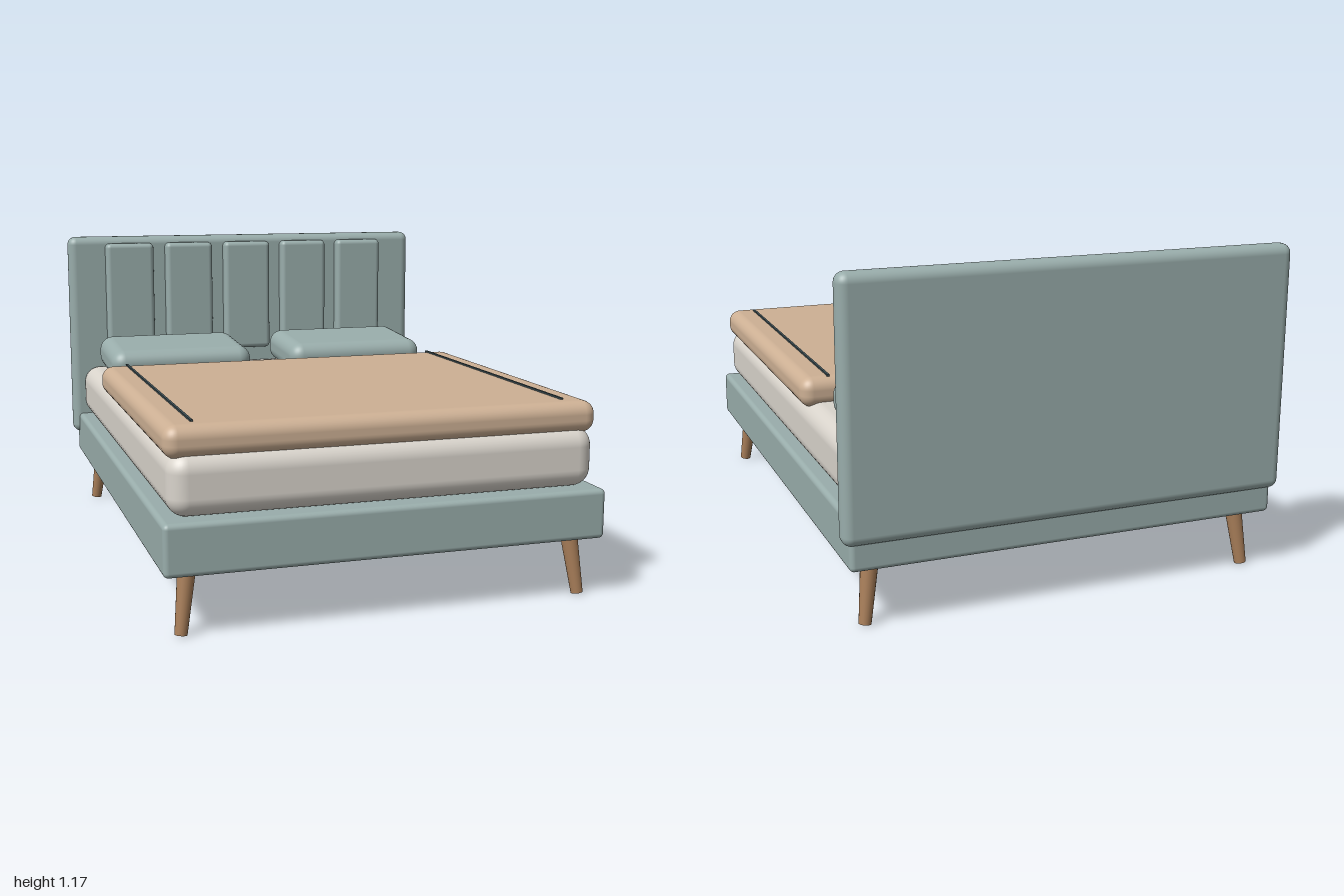
import * as THREE from 'three';
import { RoundedBoxGeometry } from 'three/addons/geometries/RoundedBoxGeometry.js';

function material(name, color) {
  const m = new THREE.MeshStandardMaterial({ color });
  m.name = name;
  return m;
}

export function createModel() {
  const fabric = material('sage fabric', 0x99adab);
  const linen = material('pale linen', 0xd9d4cc);
  const throwCloth = material('tan blanket', 0xcdb094);
  const wood = material('leg wood', 0xa87e59);
  const stitch = material('dark stitching', 0x3c4d52);

  const bed = new THREE.Group();
  bed.name = 'bed';

  // Rounded block given by its minimum and maximum corners
  function block(name, mat, min, max, radius) {
    const size = max.map((v, i) => v - min[i]);
    const mesh = new THREE.Mesh(new RoundedBoxGeometry(...size, 5, radius), mat);
    mesh.position.set(...max.map((v, i) => (v + min[i]) / 2));
    mesh.name = name;
    bed.add(mesh);
    return mesh;
  }

  // Frame, mattress and blanket
  block('baseFrame', fabric, [-0.77, 0.21, -0.98], [0.77, 0.385, 1], 0.018);
  block('mattress', linen, [-0.743, 0.385, -0.96], [0.743, 0.595, 0.97], 0.065);
  block('blanket', throwCloth, [-0.753, 0.573, -0.355], [0.753, 0.683, 0.955], 0.045);

  // Headboard with five upright padded channels
  block('headboard', fabric, [-0.795, 0.3, -1], [0.795, 1.167, -0.92], 0.034);
  for (let i = -2; i <= 2; i++) {
    const x = i * 0.266;
    block('headboardChannel', fabric, [x - 0.105, 0.655, -0.955], [x + 0.105, 1.138, -0.876], 0.02);
  }

  for (const side of [-1, 1]) {
    // Pillows, raised a little towards the headboard
    const pillow = block('pillow', fabric,
      [side * 0.386 - 0.298, 0.592, -0.868], [side * 0.386 + 0.298, 0.728, -0.468], 0.055);
    pillow.rotation.x = 0.07;

    // Stitched line along the blanket edge
    const line = new THREE.Mesh(new THREE.BoxGeometry(0.009, 0.008, 1.215), stitch);
    line.position.set(side * 0.65, 0.685, 0.277);
    line.name = 'blanketStitch';
    bed.add(line);

    // Splayed tapered legs
    for (const [zTop, zFoot] of [[0.908, 0.935], [-0.885, -0.912]]) {
      const top = new THREE.Vector3(side * 0.677, 0.23, zTop);
      const foot = new THREE.Vector3(side * 0.706, 0.003, zFoot);
      const axis = top.clone().sub(foot);
      const leg = new THREE.Mesh(new THREE.CylinderGeometry(0.031, 0.021, axis.length(), 20), wood);
      leg.position.copy(top).add(foot).multiplyScalar(0.5);
      leg.quaternion.setFromUnitVectors(new THREE.Vector3(0, 1, 0), axis.normalize());
      leg.name = 'leg';
      bed.add(leg);
    }
  }
  return bed;
}
